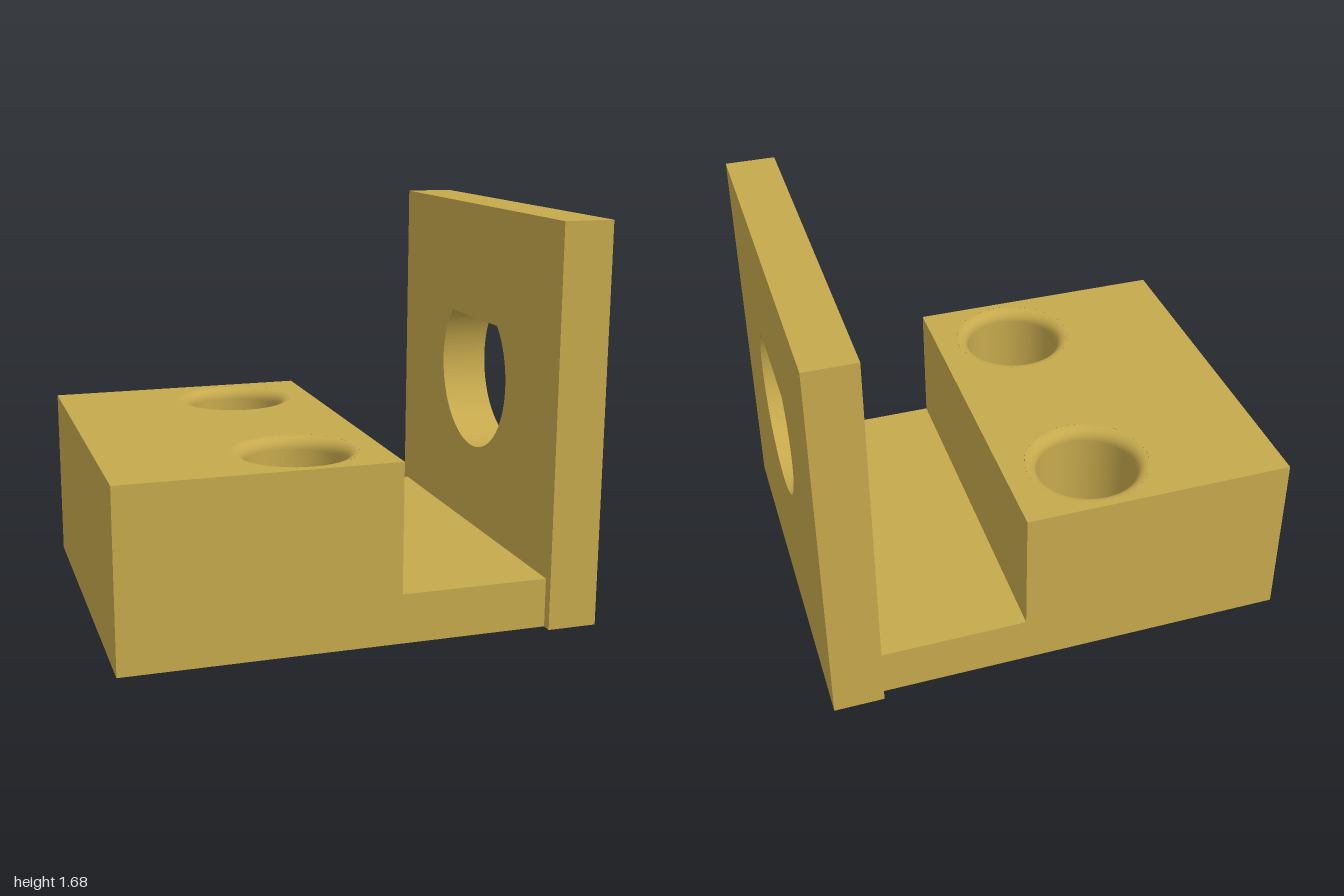
import * as THREE from 'three';
import { toCreasedNormals } from 'three/addons/utils/BufferGeometryUtils.js';

const X0 = -1, STEP = 0.157, WALL = 0.788, X1 = 1;   // stations along x
const LOW = 0.21, HIGH = 0.76, HALF = 0.8;           // floor, block height, half depth
const HOLE_X = -0.205, HOLE_Z = 0.505;
const R_BOLT = 0.18, R_BORE = 0.213, FILLET = 0.05, LEDGE = 0.13;

const polygon = (pts) => new THREE.Shape(pts.map(([x, y]) => new THREE.Vector2(x, y)));
const rect = (a, b, c, d) => polygon([[a, b], [c, b], [c, d], [a, d]]);

function withBoltHoles(shape, r) {
  for (const s of [-1, 1]) {
    shape.holes.push(new THREE.Path().absarc(HOLE_X, s * HOLE_Z, r, 0, Math.PI * 2, true));
  }
  return shape;
}

export function createModel() {
  const model = new THREE.Group();
  model.name = 'mountingBracket';
  const brass = new THREE.MeshStandardMaterial({ color: 0xc6a94d });
  brass.name = 'mustard';

  const add = (name, geometry, x = 0, y = 0, z = 0, parent = model) => {
    const mesh = new THREE.Mesh(geometry, brass);
    mesh.name = name;
    mesh.position.set(x, y, z);
    parent.add(mesh);
    return mesh;
  };
  const face = (shape) => new THREE.ShapeGeometry(shape, 64);

  // Stepped block, as a shell of faces so the bores stay open
  const block = new THREE.Group();
  block.name = 'steppedBlock';
  model.add(block);
  const profile = polygon([[X0, 0], [WALL, 0], [WALL, LOW], [STEP, LOW], [STEP, HIGH], [X0, HIGH]]);
  add('frontFace', face(profile), 0, 0, HALF, block);
  // mirrored profile, turned to face backwards
  const mirrored = polygon([[-X0, 0], [-X0, HIGH], [-STEP, HIGH], [-STEP, LOW], [-WALL, LOW], [-WALL, 0]]);
  add('backFace', face(mirrored).rotateY(Math.PI), 0, 0, -HALF, block);
  add('endFace', face(rect(-HALF, 0, HALF, HIGH)).rotateY(-Math.PI / 2), X0, 0, 0, block);
  add('stepFace', face(rect(-HALF, LOW, HALF, HIGH)).rotateY(Math.PI / 2), STEP, 0, 0, block);
  add('floorFace', face(rect(STEP, -HALF, WALL, HALF)).rotateX(-Math.PI / 2), 0, LOW, 0, block);
  add('topFace', face(withBoltHoles(rect(X0, -HALF, STEP, HALF), R_BORE + FILLET)).rotateX(-Math.PI / 2),
    0, HIGH, 0, block);
  add('bottomFace', face(withBoltHoles(rect(X0, -HALF, WALL, HALF), R_BOLT)).rotateX(Math.PI / 2),
    0, 0, 0, block);

  // Counterbored holes with a rounded mouth; profiles run downwards to face inwards
  const mouth = [];
  for (let i = 0; i <= 10; i++) {
    const a = (i / 10) * Math.PI / 2;
    mouth.push([R_BORE + FILLET * (1 - Math.sin(a)), HIGH - FILLET * (1 - Math.cos(a))]);
  }
  const lathe = (pts) => new THREE.LatheGeometry(pts.map(([x, y]) => new THREE.Vector2(x, y)), 64);
  for (const s of [-1, 1]) {
    const hole = new THREE.Group();
    hole.name = s > 0 ? 'frontBoltHole' : 'backBoltHole';
    hole.position.set(HOLE_X, 0, s * HOLE_Z);
    model.add(hole);
    add('roundedMouth', lathe(mouth), 0, 0, 0, hole);
    add('upperBore', lathe([[R_BORE, HIGH - FILLET], [R_BORE, LEDGE]]), 0, 0, 0, hole);
    add('boreLedge', lathe([[R_BORE, LEDGE], [R_BOLT, LEDGE]]), 0, 0, 0, hole);
    add('lowerBore', lathe([[R_BOLT, LEDGE], [R_BOLT, 0]]), 0, 0, 0, hole);
  }

  // Upright plate with a teardrop opening (45 degree roof over a circle)
  const plate = rect(-0.842, 0, 0.842, 1.685);
  const cy = 0.93, r = 0.349;
  const drop = new THREE.Path();
  drop.moveTo(0, cy + r * Math.SQRT2);
  drop.absarc(0, cy, r, Math.PI / 4, Math.PI * 3 / 4, true);
  drop.closePath();
  plate.holes.push(drop);
  const plateGeometry = new THREE.ExtrudeGeometry(plate, {
    depth: X1 - WALL, bevelEnabled: false, curveSegments: 64,
  }).rotateY(Math.PI / 2);
  add('uprightPlate', toCreasedNormals(plateGeometry, 0.5), WALL, 0, 0);

  return model;
}
